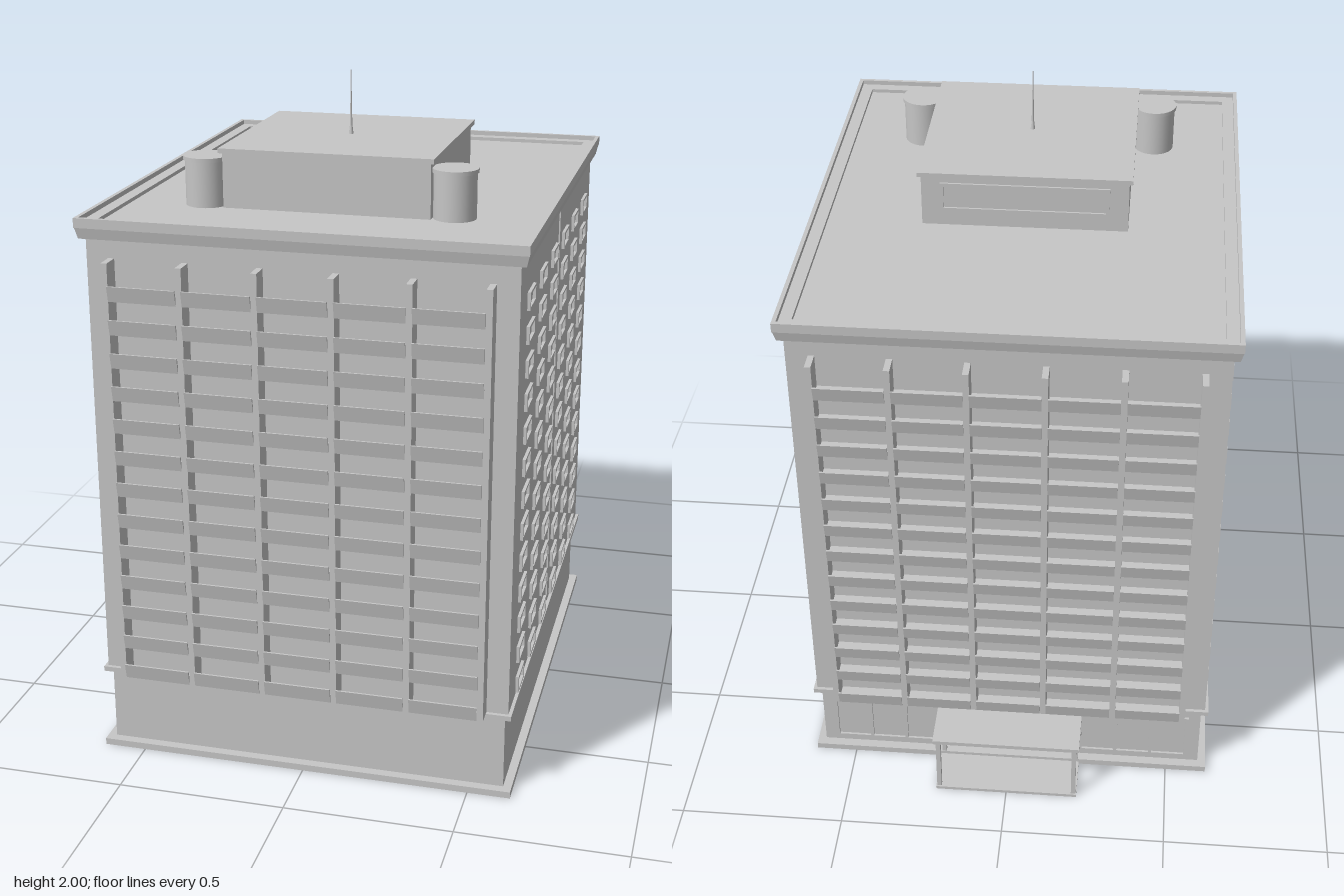
import * as THREE from 'three';

const concrete = new THREE.MeshStandardMaterial({ color: 0xc6c6c6 });
concrete.name = 'grey concrete';

const CZ = 0.0425;            // middle of the tower in z
const HX = 0.613, HZ = 0.735; // tower half sizes
const FLOORS = 13, STEP = 0.0975;

function add(parent, name, geometry, x = 0, y = 0, z = 0) {
  const mesh = new THREE.Mesh(geometry, concrete);
  mesh.name = name;
  mesh.position.set(x, y, z);
  parent.add(mesh);
  return mesh;
}

// box given by its extents
function block(parent, name, x0, x1, y0, y1, z0, z1) {
  return add(parent, name, new THREE.BoxGeometry(x1 - x0, y1 - y0, z1 - z0),
    (x0 + x1) / 2, (y0 + y1) / 2, (z0 + z1) / 2);
}

function rectPath(path, hx, hy) {
  path.moveTo(-hx, -hy);
  path.lineTo(hx, -hy);
  path.lineTo(hx, hy);
  path.lineTo(-hx, hy);
  path.closePath();
  return path;
}

// rectangular ring lying in XY, extruded along +z
function frameGeometry(hx, hy, ix, iy, depth) {
  const shape = rectPath(new THREE.Shape(), hx, hy);
  shape.holes.push(rectPath(new THREE.Path(), ix, iy));
  return new THREE.ExtrudeGeometry(shape, { depth, bevelEnabled: false });
}

// fins and balconies of one long face, looking along +z
function buildFacade() {
  const g = new THREE.Group();
  const pitch = 0.216, fin = 0.018, width = pitch - fin;
  for (let i = 0; i < 6; i++) {
    const x = (i - 2.5) * pitch;
    block(g, 'fin', x - fin / 2, x + fin / 2, 0.265, 1.545, HZ - 0.01, HZ + 0.058);
  }
  // floor slab with an outward leaning parapet
  const profile = new THREE.Shape([
    [-0.005, 0], [0.059, 0], [0.069, 0.046], [0.063, 0.046], [0.054, 0.008], [-0.005, 0.008],
  ].map(([x, y]) => new THREE.Vector2(x, y)));
  const balcony = new THREE.ExtrudeGeometry(profile, { depth: width, bevelEnabled: false });
  balcony.translate(0, 0, -width / 2);
  balcony.rotateY(-Math.PI / 2);
  for (let f = 0; f < FLOORS; f++) {
    for (let i = 0; i < 5; i++) add(g, 'balcony', balcony, (i - 2) * pitch, 0.266 + f * STEP, HZ);
  }
  return g;
}

// window frames of one side wall, looking along +z
function buildSideWindows() {
  const g = new THREE.Group();
  const frame = frameGeometry(0.052, 0.026, 0.043, 0.018, 0.009);
  for (let f = 0; f < FLOORS; f++) {
    for (let c = 0; c < 6; c++) add(g, 'windowFrame', frame, (c - 2.5) * 0.225, 0.297 + f * STEP, HX);
  }
  return g;
}

export function createModel() {
  const model = new THREE.Group();
  model.name = 'apartmentTower';

  // ground floor
  block(model, 'plinth', -0.627, 0.627, 0, 0.02, -0.705, 0.795);
  block(model, 'groundFloor', -0.602, 0.602, 0.02, 0.25, -0.677, 0.767);
  block(model, 'ledge', -0.623, 0.623, 0.25, 0.265, -0.703, 0.789);

  // tower: two halves with a narrow groove down each side
  block(model, 'towerFront', -HX, HX, 0.265, 1.6, CZ + 0.016, CZ + HZ);
  block(model, 'towerBack', -HX, HX, 0.265, 1.6, CZ - HZ, CZ - 0.016);
  block(model, 'grooveCore', -HX + 0.015, HX - 0.015, 0.265, 1.6, CZ - 0.02, CZ + 0.02);

  for (const turn of [0, Math.PI]) {
    const facade = buildFacade();
    facade.name = turn ? 'backBalconies' : 'frontBalconies';
    facade.position.z = CZ;
    facade.rotation.y = turn;
    model.add(facade);

    const windows = buildSideWindows();
    windows.name = turn ? 'rightWindows' : 'leftWindows';
    windows.position.z = CZ;
    windows.rotation.y = Math.PI / 2 + turn;
    model.add(windows);
  }

  // flared cornice with a thin rim around the sunken roof
  const cornice = new THREE.BoxGeometry(1, 0.035, 1);
  const p = cornice.attributes.position;
  for (let i = 0; i < p.count; i++) {
    const grow = p.getY(i) > 0 ? 0.024 : 0.016;
    p.setX(i, Math.sign(p.getX(i)) * (HX + grow));
    p.setZ(i, Math.sign(p.getZ(i)) * (HZ + grow));
  }
  cornice.computeVertexNormals();
  add(model, 'cornice', cornice, 0, 1.6175, CZ);
  const rim = frameGeometry(HX + 0.025, HZ + 0.025, HX + 0.013, HZ + 0.013, 0.028);
  add(model, 'roofRim', rim, 0, 1.632, CZ).rotation.x = -Math.PI / 2;
  const curb = frameGeometry(HX + 0.014, HZ + 0.014, HX - 0.023, HZ - 0.023, 0.012);
  add(model, 'roofCurb', curb, 0, 1.634, CZ).rotation.x = -Math.PI / 2;

  // roof house
  block(model, 'roofHouse', -0.306, 0.306, 1.63, 1.796, -0.107, 0.485);
  block(model, 'roofHouseSlab', -0.316, 0.316, 1.796, 1.81, -0.118, 0.495);
  const vent = frameGeometry(0.25, 0.045, 0.24, 0.036, 0.006);
  add(model, 'ventFrame', vent, 0, 1.73, -0.113);

  // round tanks and mast
  for (const s of [-1, 1]) {
    add(model, 'tank', new THREE.CylinderGeometry(0.062, 0.062, 0.14, 28), s * 0.368, 1.70, 0.445);
    add(model, 'tankLid', new THREE.CylinderGeometry(0.067, 0.067, 0.012, 28), s * 0.368, 1.774, 0.445);
  }
  add(model, 'mastFoot', new THREE.CylinderGeometry(0.004, 0.007, 0.025, 10), 0, 1.8225, 0.19);
  add(model, 'mast', new THREE.CylinderGeometry(0.001, 0.004, 0.18, 8), 0, 1.91, 0.19);

  // entrance canopy at the back
  block(model, 'canopyFloor', -0.222, 0.222, 0, 0.01, -0.845, -0.70);
  block(model, 'canopyRoof', -0.228, 0.228, 0.203, 0.216, -0.847, -0.677);
  for (const s of [-1, 1]) {
    for (const z of [-0.833, -0.697]) {
      block(model, 'canopyPost', s * 0.212 - 0.007, s * 0.212 + 0.007, 0.01, 0.203, z - 0.007, z + 0.007);
    }
  }

  // glazing bars along the back of the ground floor
  for (const y of [0.045, 0.205]) {
    block(model, 'glazingRail', -0.565, 0.565, y - 0.005, y + 0.005, -0.684, -0.676);
  }
  for (let i = 0; i <= 10; i++) {
    const x = (i - 5) * 0.112;
    block(model, 'glazingBar', x - 0.005, x + 0.005, 0.045, 0.205, -0.684, -0.676);
  }
  return model;
}
